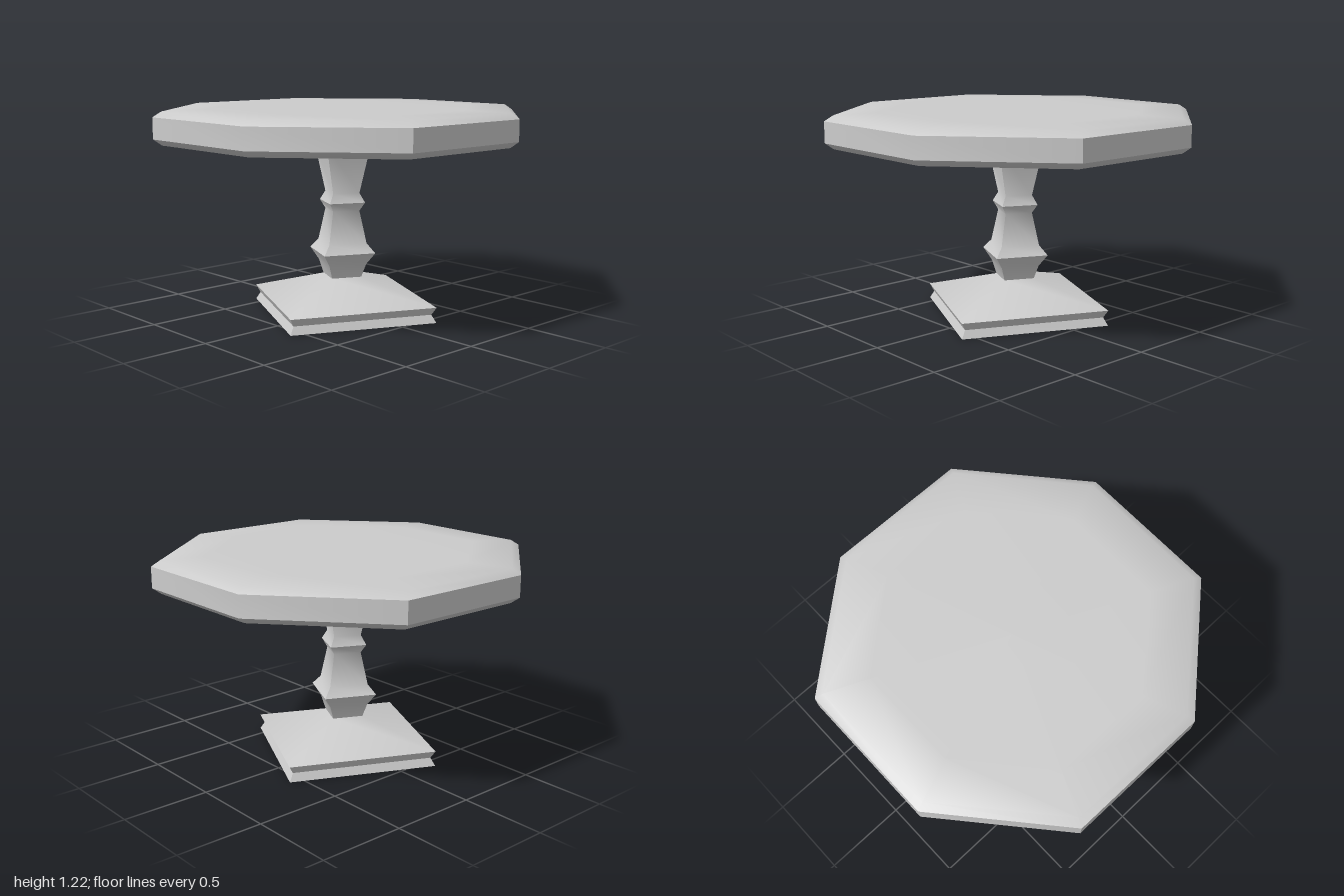
import * as THREE from 'three';
import { toCreasedNormals } from 'three/addons/utils/BufferGeometryUtils.js';

const CREASE = 0.75;
const TWIST = Math.atan2(0.2, 0.57); // turn of the square pedestal
const material = new THREE.MeshStandardMaterial({ color: 0xcccccc });

const toPoints = (profile) => profile.map(([r, y]) => new THREE.Vector2(r, y));

function addPart(group, name, geometry) {
  const mesh = new THREE.Mesh(toCreasedNormals(geometry, CREASE), material);
  mesh.name = name;
  group.add(mesh);
}

// Four-sided turned part; profile widths are half extents along x
function squareTurned(profile) {
  const scaled = profile.map(([e, y]) => [e / Math.cos(TWIST), y]);
  return new THREE.LatheGeometry(toPoints(scaled), 4, TWIST);
}

// Eight-sided slab whose corners alternate between two slightly different positions
function octagonSlab(profile) {
  const corners = [[0.365, 1], [0.995, 0.46]];
  const geometry = new THREE.LatheGeometry(toPoints(profile), 8);
  const pos = geometry.attributes.position;
  for (let i = 0; i < pos.count; i++) {
    const k = Math.floor(i / profile.length) % 8;
    const r = profile[i % profile.length][0];
    let [x, z] = corners[k % 2];
    for (let q = 0; q < Math.floor(k / 2); q++) [x, z] = [z, -x];
    pos.setXYZ(i, x * r, pos.getY(i), z * r);
  }
  return geometry;
}

export function createModel() {
  const table = new THREE.Group();
  table.name = 'pedestalTable';

  // Square foot with a notched edge and sloping top
  addPart(table, 'base', squareTurned([
    [0, 0], [0.575, 0], [0.545, 0.045], [0.575, 0.09], [0.115, 0.22],
  ]));

  // Square column with a knop and a collar
  addPart(table, 'column', squareTurned([
    [0.12, 0.22], [0.15, 0.3], [0.206, 0.37], [0.152, 0.425], [0.107, 0.615],
    [0.142, 0.665], [0.107, 0.72], [0.176, 1.005],
  ]));

  // Bevelled octagonal top
  addPart(table, 'tabletop', octagonSlab([
    [0, 1.003], [0.72, 1.003], [0.955, 1.025], [1, 1.06],
    [1, 1.182], [0.955, 1.213], [0.72, 1.22], [0, 1.22],
  ]));

  return table;
}
